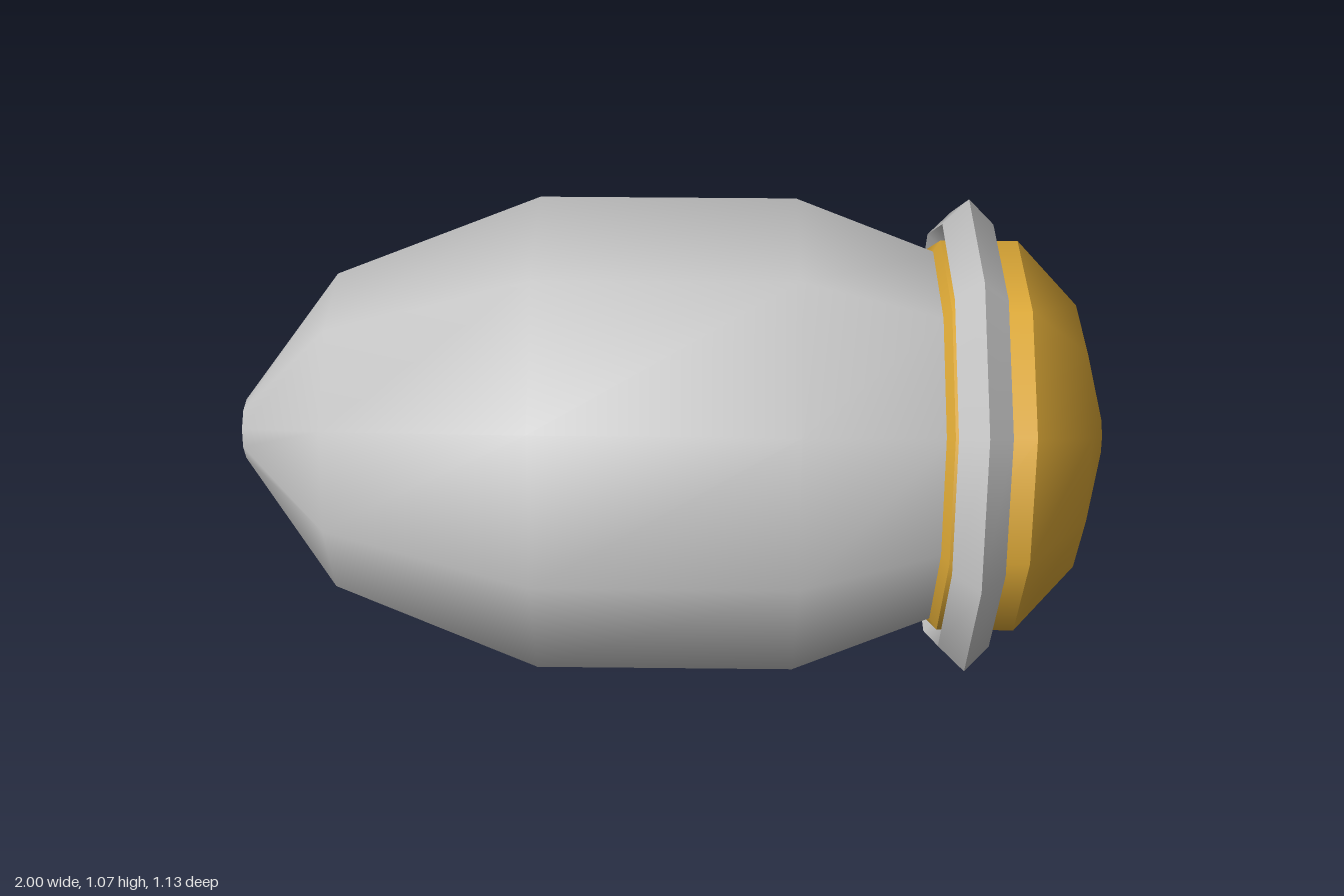
import * as THREE from 'three';
import { mergeGeometries } from 'three/addons/utils/BufferGeometryUtils.js';

const SIDES = 10;

// Ten-sided surfaces of revolution along x. Each run of [x, radius] points is
// smooth; separate runs meet at a sharp edge.
function turned(name, material, runs) {
  const shells = runs.map((run) =>
    new THREE.LatheGeometry(run.map(([x, r]) => new THREE.Vector2(r, x)), SIDES));
  const geometry = mergeGeometries(shells);
  geometry.rotateZ(-Math.PI / 2);
  const mesh = new THREE.Mesh(geometry, material);
  mesh.name = name;
  return mesh;
}

export function createModel() {
  const grey = new THREE.MeshStandardMaterial({ color: 0xc4c4c4 });
  grey.name = 'grey';
  const gold = new THREE.MeshStandardMaterial({ color: 0xdca836 });
  gold.name = 'gold';

  const model = new THREE.Group();
  model.name = 'capsule';

  // Tapered body with a small flat tip
  model.add(turned('body', grey, [
    [[-1, 0], [-1, 0.072]],
    [[-1, 0.072], [-0.77, 0.379], [-0.3, 0.563], [0.28, 0.563], [0.61, 0.436]],
  ]));

  // Collar band behind and through the ring
  model.add(turned('collar', gold, [
    [[0.595, 0.4], [0.595, 0.44]],
    [[0.595, 0.44], [0.612, 0.468]],
    [[0.612, 0.468], [0.787, 0.468]],
  ]));

  // Domed end
  model.add(turned('dome', gold, [
    [[0.787, 0.468], [0.93, 0.317], [1, 0.065], [1, 0]],
  ]));

  // Ring with a diamond cross-section
  const x = 0.672, r = 0.506, t = 0.058;
  const corners = [[x - t, r], [x, r + t], [x + t, r], [x, r - t]];
  model.add(turned('ring', grey, corners.map((c, i) => [c, corners[(i + 1) % 4]])));

  model.position.y = 0.537;
  const root = new THREE.Group();
  root.add(model);
  return root;
}
